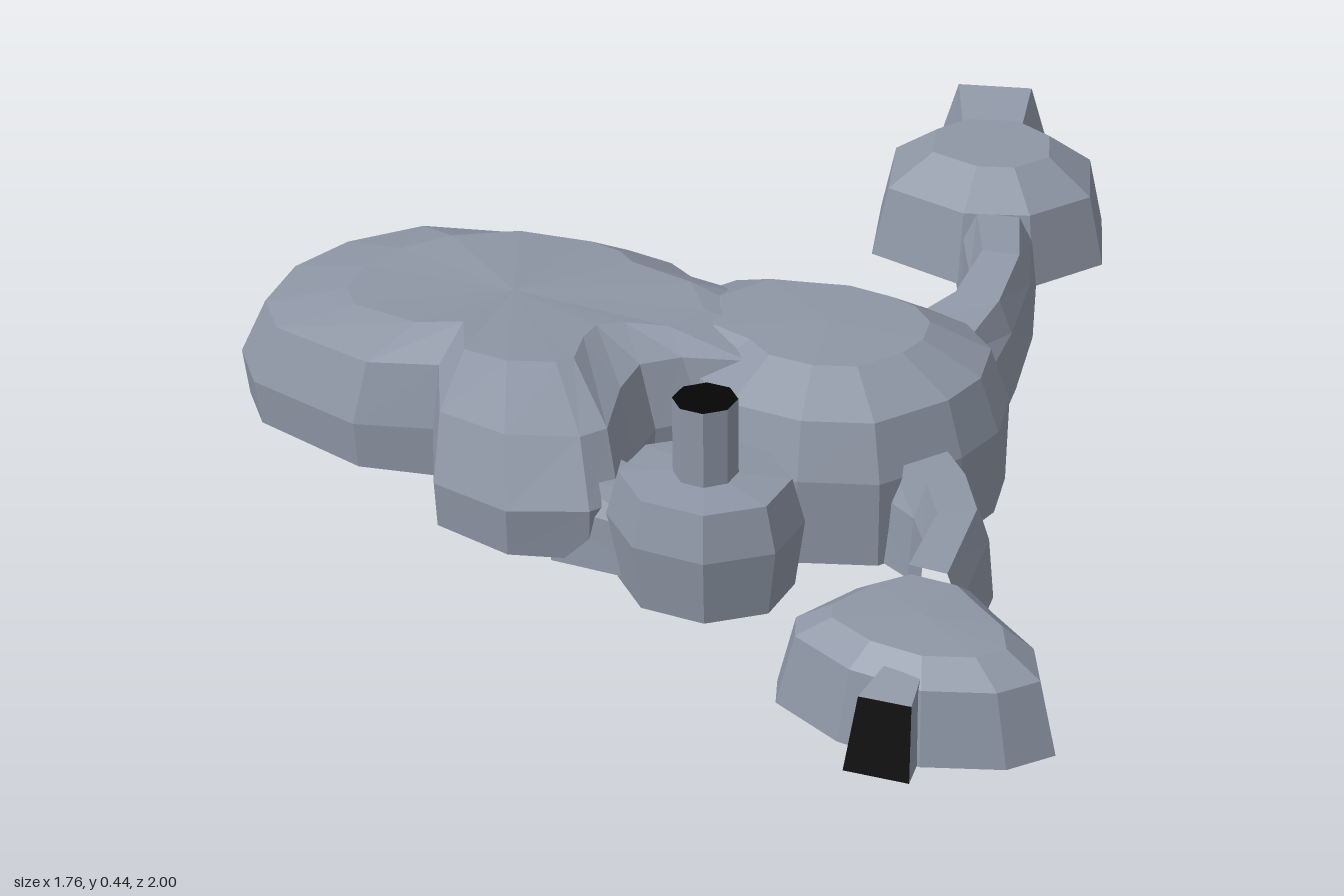
import * as THREE from 'three';

const mat = (name, color) => Object.assign(new THREE.MeshStandardMaterial({ color, flatShading: true }), { name });

export function createModel() {
  const model = new THREE.Group();
  const stone = mat('slate stone', 0x8e96a5);
  const green = mat('underside green', 0x74a25e);
  const black = mat('black opening', 0x050505);
  const pale = mat('pale stone', 0xe0dfdb);

  // Mesh from a list of polygons, each fanned into flat triangles
  function polyMesh(name, polys, material) {
    const pos = [];
    for (const p of polys)
      for (let i = 1; i < p.length - 1; i++) pos.push(...p[0], ...p[i], ...p[i + 1]);
    const geo = new THREE.BufferGeometry();
    geo.setAttribute('position', new THREE.Float32BufferAttribute(pos, 3));
    geo.computeVertexNormals();
    const mesh = new THREE.Mesh(geo, material);
    mesh.name = name;
    return mesh;
  }

  // Domed room: a plan outline [x, z] shrunk ring by ring towards its centre.
  // rings: [scale, height], where height is a number or a function of x and z
  function room(name, outline, [cx, cz], rings, apex) {
    const area = outline.reduce((s, [x, z], i) => {
      const [u, v] = outline[(i + 1) % outline.length];
      return s + x * v - u * z;
    }, 0);
    const pts = area > 0 ? [...outline].reverse() : outline;
    const loops = rings.map(([s, y]) => pts.map(([px, pz]) => {
      const x = cx + (px - cx) * s, z = cz + (pz - cz) * s;
      return [x, typeof y === 'function' ? y(x, z) : y, z];
    }));
    const shell = [], floor = [], n = pts.length;
    const top = loops[loops.length - 1], base = loops[0];
    const floorY = base.reduce((s, p) => s + p[1], 0) / n;
    for (let i = 0; i < n; i++) {
      const j = (i + 1) % n;
      for (let k = 0; k < loops.length - 1; k++)
        shell.push([loops[k][i], loops[k][j], loops[k + 1][j], loops[k + 1][i]]);
      shell.push([top[i], top[j], [cx, apex, cz]]);
      floor.push([base[j], base[i], [cx, floorY, cz]]);
    }
    const group = new THREE.Group();
    group.name = name;
    group.add(polyMesh(name + 'Shell', shell, stone), polyMesh(name + 'Floor', floor, green));
    model.add(group);
  }

  // Passage through sections [left, right, bottomY, topY, lean of the top in z],
  // with an optional end face
  const arch = [[0, 0], [0.08, 0.65], [0.25, 1], [0.77, 1], [0.93, 0.65], [1, 0]];
  const trapezoid = [[0, 0], [0.2, 1], [0.8, 1], [1, 0]];
  const doorShape = [[0, 0], [0.1, 1], [0.9, 1], [1, 0]];
  function passage(name, sections, profile, endMaterial) {
    const loops = sections.map(([l, r, y0, y1, lean = 0]) => profile.map(([t, v]) =>
      [l[0] + (r[0] - l[0]) * t, y0 + (y1 - y0) * v, l[1] + (r[1] - l[1]) * t + lean * v]));
    const shell = [], floor = [], m = profile.length - 1;
    for (let k = 0; k < loops.length - 1; k++) {
      const a = loops[k], b = loops[k + 1];
      for (let j = 0; j < m; j++) shell.push([a[j], a[j + 1], b[j + 1], b[j]]);
      floor.push([a[m], a[0], b[0], b[m]]);
    }
    const group = new THREE.Group();
    group.name = name;
    group.add(polyMesh(name + 'Shell', shell, stone), polyMesh(name + 'Floor', floor, green));
    if (endMaterial) group.add(polyMesh(name + 'Opening', [loops[loops.length - 1]], endMaterial));
    model.add(group);
  }

  // Large side cavern with a front lobe; its roof falls to the back and left
  // and runs into the roof of the central cavern
  room('largeCavern', [
    [-0.13, -0.02], [-0.22, -0.11], [-0.34, -0.15], [-0.56, -0.1], [-0.73, 0.02], [-0.84, 0.14],
    [-0.88, 0.28], [-0.85, 0.44], [-0.76, 0.54], [-0.51, 0.615], [-0.37, 0.58], [-0.27, 0.75],
    [-0.11, 0.79], [0.02, 0.74], [0.05, 0.69], [0, 0.54], [-0.01, 0.44], [0.05, 0.38],
    [0.17, 0.34], [0.22, 0.2], [0.1, 0.05],
  ], [-0.36, 0.3], [
    [0.98, (x, z) => 0.06 + (z + 0.1) * 0.08],
    [1, (x) => 0.2 + 0.04 * (x + 0.6)],
    [0.9, (x, z) => Math.min(0.335, 0.295 + 0.06 * (x + 0.8), 0.29 + 0.32 * z)],
    [0.6, (x, z) => Math.min(0.345 + 0.12 * (x + 0.55), 0.325 + 0.25 * z, 0.36 + 0.1 * Math.max(0, z - 0.3))],
  ], 0.352);

  // Central cavern
  room('centralCavern', [
    [-0.1, -0.02], [0.02, -0.05], [0.15, -0.085], [0.3, -0.07], [0.4, -0.04], [0.485, 0.04],
    [0.512, 0.16], [0.49, 0.27], [0.4, 0.415], [0.27, 0.465], [0.12, 0.46], [0.02, 0.39],
    [-0.12, 0.35], [-0.19, 0.15],
  ], [0.2, 0.18], [[0.99, 0.04], [1, 0.2], [0.89, 0.3], [0.55, 0.355]], 0.36);

  // Back chamber, its rising tunnel and flared exit
  room('backChamber', [
    [-0.01, -0.485], [0.19, -0.435], [0.325, -0.485], [0.41, -0.63],
    [0.34, -0.815], [0.175, -0.895], [-0.01, -0.83], [-0.08, -0.69],
  ], [0.165, -0.66], [[1, 0.15], [0.87, 0.285], [0.5, 0.347]], 0.347);
  passage('backTunnel', [
    [[0.13, -0.04], [0.425, 0], 0.04, 0.23],
    [[0.24, -0.2], [0.405, -0.2], 0.085, 0.26],
    [[0.245, -0.33], [0.38, -0.345], 0.12, 0.285],
    [[0.17, -0.47], [0.325, -0.5], 0.15, 0.285],
  ], arch);
  passage('backExit', [
    [[0.01, -0.8], [0.185, -0.85], 0.151, 0.28],
    [[-0.07, -0.93], [0.165, -1], 0.163, 0.325],
  ], trapezoid, pale);

  // Front chamber, its curved tunnel and dark doorway
  room('frontChamber', [
    [0.52, 0.59], [0.65, 0.59], [0.72, 0.645], [0.83, 0.725], [0.88, 0.82], [0.825, 0.89],
    [0.7, 0.94], [0.555, 0.93], [0.42, 0.87], [0.395, 0.81], [0.455, 0.67],
  ], [0.63, 0.77], [[1, 0.04], [0.87, 0.165], [0.62, 0.2]], 0.205);
  passage('frontTunnel', [
    [[0.45, 0.2], [0.36, 0.38], 0.041, 0.22],
    [[0.55, 0.32], [0.46, 0.43], 0.041, 0.217],
    [[0.615, 0.425], [0.51, 0.5], 0.041, 0.215],
    [[0.65, 0.64], [0.52, 0.64], 0.041, 0.205],
  ], arch);
  passage('frontDoorway', [
    [[0.68, 0.85], [0.62, 0.85], 0.041, 0.19],
    [[0.704, 0.99], [0.596, 1], 0.041, 0.162, -0.03],
  ], doorShape, black);

  // Small octagonal chimney room joined to the lobe
  const octagon = Array.from({ length: 8 }, (_, i) => {
    const a = (i + 0.5) * Math.PI / 4;
    return [0.197 + 0.167 * Math.cos(a), 0.667 + 0.15 * Math.sin(a)];
  });
  room('chimneyRoom', octagon, [0.2, 0.67], [[0.9, 0.1], [1, 0.22], [0.87, 0.3]], 0.315);
  passage('chimneyLink', [
    [[-0.05, 0.56], [-0.05, 0.75], 0.12, 0.27],
    [[0.12, 0.61], [0.12, 0.73], 0.11, 0.25],
  ], arch);
  const chimney = new THREE.Mesh(new THREE.CylinderGeometry(0.054, 0.054, 0.145, 8), [stone, black, green]);
  chimney.name = 'chimney';
  chimney.rotation.y = Math.PI / 8;
  chimney.position.set(0.2, 0.3725, 0.67);
  model.add(chimney);

  // Loose block behind the large cavern
  const block = new THREE.Mesh(new THREE.BoxGeometry(0.038, 0.04, 0.038), pale);
  block.name = 'looseBlock';
  block.position.set(-0.16, 0.02, -0.2);
  model.add(block);

  return model;
}
